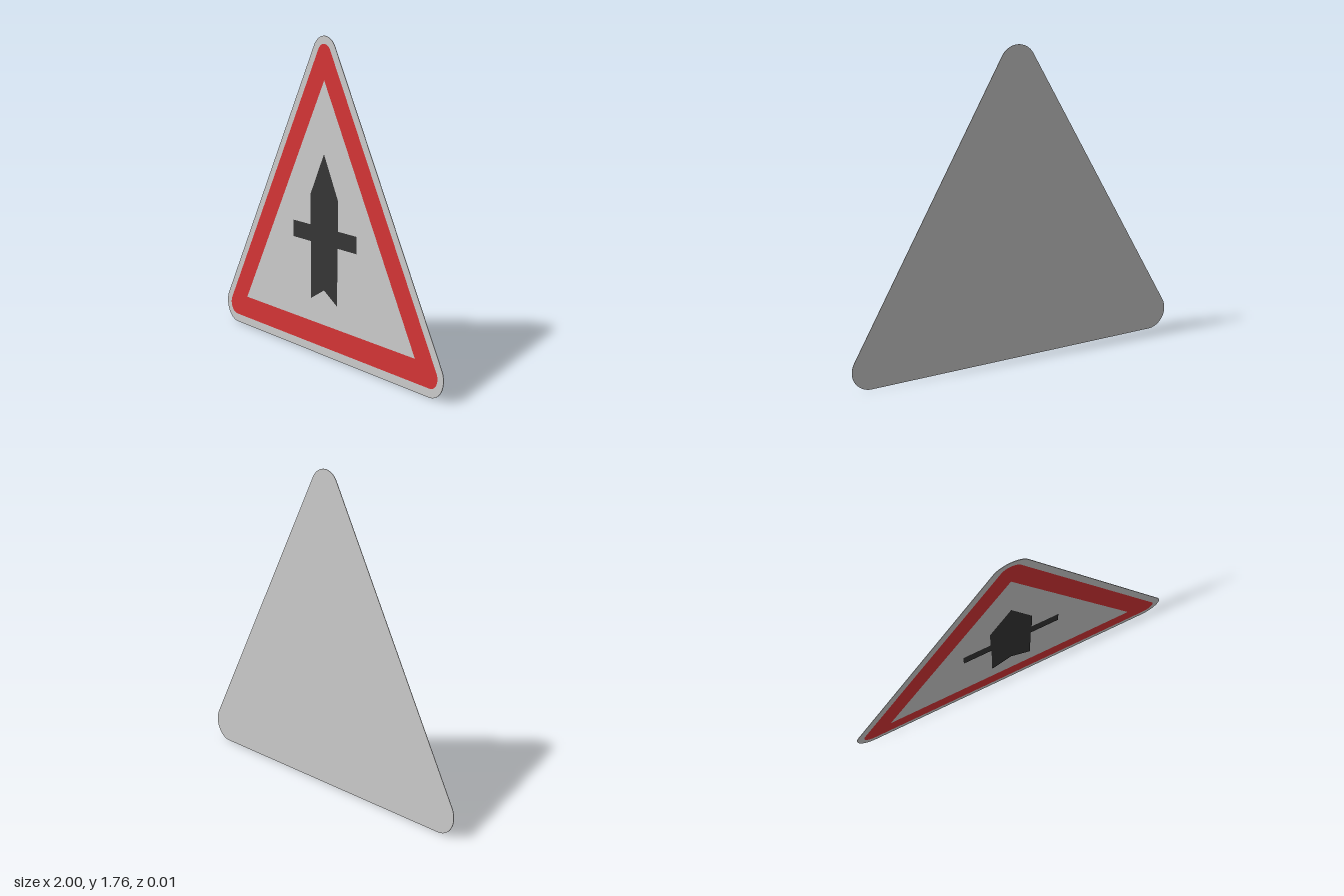
import * as THREE from 'three';

const DEG = Math.PI / 180;

// Upright triangle with rounded corners, given its corner centres and radius
function roundedTriangle(halfWidth, bottom, top, radius) {
  const shape = new THREE.Shape();
  shape.absarc(halfWidth, bottom, radius, -90 * DEG, 30 * DEG);
  shape.absarc(0, top, radius, 30 * DEG, 150 * DEG);
  shape.absarc(-halfWidth, bottom, radius, 150 * DEG, 270 * DEG);
  shape.closePath();
  return shape;
}

const points = (list) => list.map(([x, y]) => new THREE.Vector2(x, y));

export function createModel() {
  const group = new THREE.Group();
  group.name = 'warningSign';

  const add = (name, geometry, color, z) => {
    const mesh = new THREE.Mesh(geometry, new THREE.MeshStandardMaterial({ color }));
    mesh.name = name;
    mesh.position.z = z;
    group.add(mesh);
  };

  // Thin sheet plate with rounded corners
  const plate = roundedTriangle(0.89, 0.11, 1.652, 0.11);
  add('plate', new THREE.ExtrudeGeometry(plate, { depth: 0.003, bevelEnabled: false, curveSegments: 16 }), 0xcccccc, -0.003);

  // Red border: rounded outside, sharp inside
  const border = roundedTriangle(0.894, 0.11, 1.657, 0.062);
  border.holes.push(new THREE.Path(points([[-0.78, 0.175], [0, 1.525], [0.78, 0.175]])));
  add('redBorder', new THREE.ShapeGeometry(border, 16), 0xd43436, 0.0015);

  // Arrow crossed by a side road, mirrored from its left half
  const half = [[0.127, 0.89], [0.127, 0.722], [0.293, 0.722], [0.293, 0.628], [0.122, 0.628], [0.122, 0.305]];
  const mirrored = half.map(([x, y]) => [-x, y]).reverse();
  const arrow = new THREE.Shape(points([[0, 1.127], ...half, [0, 0.372], ...mirrored]));
  add('crossroadArrow', new THREE.ShapeGeometry(arrow), 0x353535, 0.003);

  return group;
}
